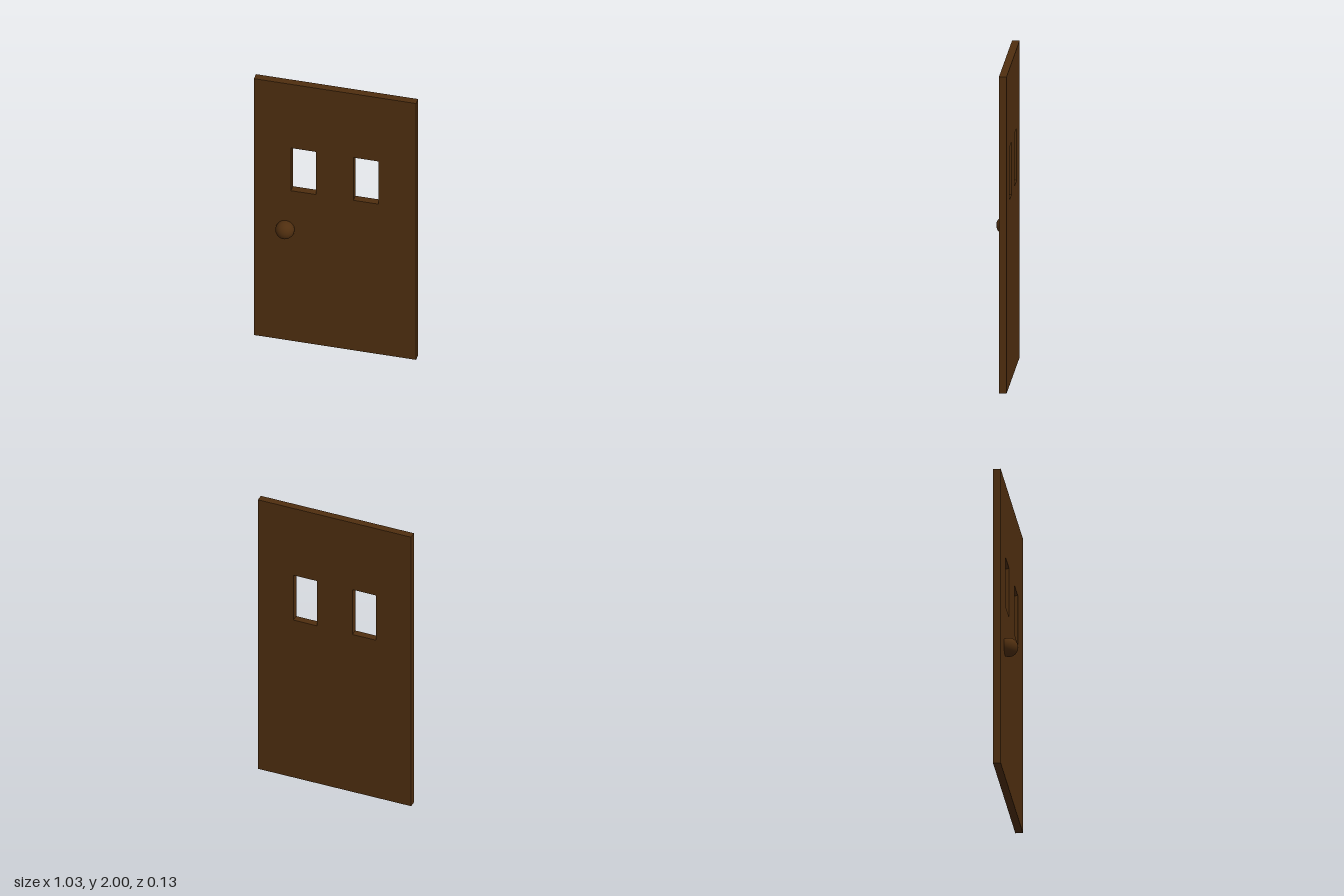
import * as THREE from 'three';

export function createModel() {
  const group = new THREE.Group();
  group.name = 'door';
  const wood = new THREE.MeshStandardMaterial({ name: 'darkBrownWood', color: 0x4f2e0f });

  // Rectangle outline given by its edges
  const rect = (target, x0, y0, x1, y1) =>
    target.moveTo(x0, y0).lineTo(x1, y0).lineTo(x1, y1).lineTo(x0, y1).closePath();

  // Door panel with two window openings
  const outline = rect(new THREE.Shape(), -0.515, 0, 0.515, 2);
  for (const x of [-0.2, 0.197]) {
    outline.holes.push(rect(new THREE.Path(), x - 0.08, 1.17, x + 0.08, 1.503));
  }
  const panel = new THREE.Mesh(
    new THREE.ExtrudeGeometry(outline, { depth: 0.047, bevelEnabled: false }), wood);
  panel.name = 'doorPanel';
  panel.position.z = -0.065;
  group.add(panel);

  // Round knob, its back sunk slightly into the panel
  const knob = new THREE.Mesh(new THREE.SphereGeometry(0.059, 32, 24), wood);
  knob.name = 'doorKnob';
  knob.position.set(-0.313, 0.877, 0.005);
  group.add(knob);

  return group;
}
